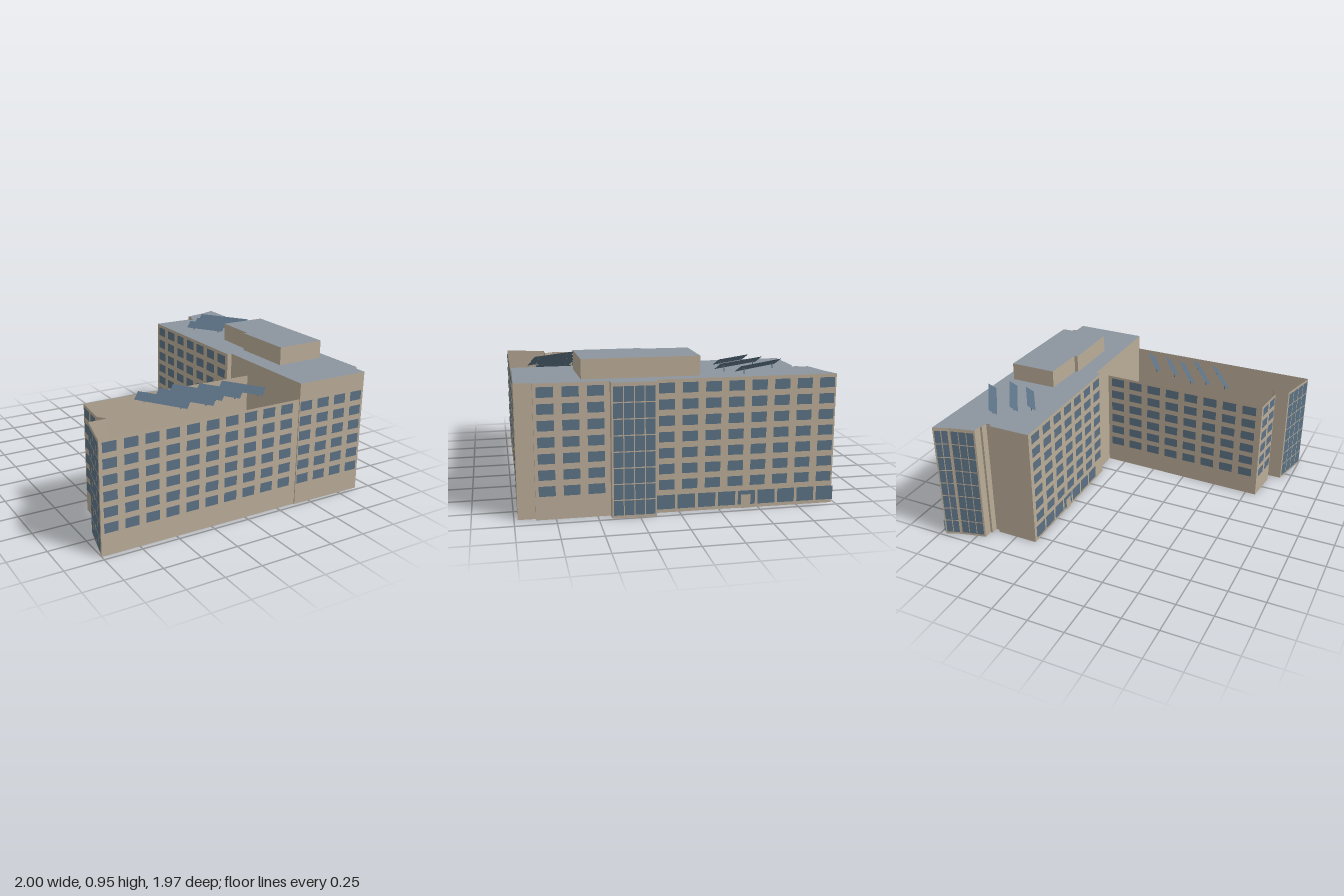
import * as THREE from 'three';
import { mergeGeometries } from 'three/addons/utils/BufferGeometryUtils.js';

const mat = (name, color) => {
  const m = new THREE.MeshStandardMaterial({ color, side: THREE.DoubleSide });
  m.name = name;
  return m;
};

// Flat quad from four corners, counter-clockwise seen from its front
function quad(a, b, c, d) {
  const g = new THREE.BufferGeometry();
  g.setAttribute('position', new THREE.Float32BufferAttribute([...a, ...b, ...c, ...a, ...c, ...d], 3));
  g.computeVertexNormals();
  return g;
}

// Upright panel on the wall line p -> q ([x, z] points), from s0 to s1 along it
function panel(p, q, s0, s1, y0, y1, off = 0) {
  const len = Math.hypot(q[0] - p[0], q[1] - p[1]);
  const dx = (q[0] - p[0]) / len, dz = (q[1] - p[1]) / len;
  const at = (s, y) => [p[0] + dx * s - dz * off, y, p[1] + dz * s + dx * off];
  return quad(at(s0, y0), at(s1, y0), at(s1, y1), at(s0, y1));
}
const dist = (p, q) => Math.hypot(q[0] - p[0], q[1] - p[1]);

// Walls along a path of points
function walls(path, y0, y1) {
  return path.slice(1).map((q, i) => panel(path[i], q, 0, dist(path[i], q), y0, y1));
}

// Regular window grid on a wall
function windowGrid(p, q, start, step, width, cols, y0, rows, height = 0.063, rise = 0.1) {
  const out = [];
  for (let c = 0; c < cols; c++) {
    for (let r = 0; r < rows; r++) {
      const s = start + c * step, y = y0 + r * rise;
      out.push(panel(p, q, s, s + width, y, y + height, 0.003));
    }
  }
  return out;
}

// Glazed bay: closely spaced panes that leave narrow wall-coloured bars
function glazing(p, q, cols, rows, y0, y1) {
  const w = (dist(p, q) - 0.015) / cols, h = (y1 - y0) / rows;
  return windowGrid(p, q, 0.0105, w, w - 0.006, cols, y0, rows, h - 0.007, h);
}

function flatRoof(path, y) {
  const shape = new THREE.Shape(path.map(([x, z]) => new THREE.Vector2(x, -z)));
  return new THREE.ShapeGeometry(shape).rotateX(-Math.PI / 2).translate(0, y, 0);
}

export function createModel() {
  const model = new THREE.Group();
  const wallMat = mat('beige wall', 0xb9ab97);
  const glassMat = mat('blue glass', 0x5b7184);
  const roofMat = mat('grey roof', 0x8b959e);
  const add = (name, geos, material) => {
    const m = new THREE.Mesh(mergeGeometries(geos), material);
    m.name = name;
    model.add(m);
  };
  const TALL = 0.83, LOW = 0.725, PENT = 0.952;

  // Tall wing: outline starts at the front left corner
  const frontL = [0.385, 0.972], frontR = [0.9, 0.978];
  const sideA = [0.928, 0.87], sideB = [0.93, 0.42];
  const bayA = [0.985, 0.42], bayB = [0.995, 0.15];
  const sideC = [0.94, 0.14], backR = [0.96, -0.98], backMid = [0.86, -0.94], backL = [0.69, -0.9];
  const courtA = [0.35, -0.81], courtB = [0.35, 0.2], inner = [0.383, 0.4];
  const tall = [frontL, frontR, [0.902, 0.87], sideA, sideB, bayA, bayB, [0.942, 0.15], sideC,
    backR, backMid, backL, [0.69, -0.84], [0.675, -0.84], [0.675, -0.79], [0.64, -0.79],
    [0.64, -0.81], courtA, courtB, [0.383, 0.2], inner];
  add('tallWingWalls', walls(tall, 0, TALL), wallMat);
  add('tallWingInnerWall', walls([inner, frontL], 0.13, TALL), wallMat);
  add('tallWingRoof', [flatRoof(tall, TALL)], roofMat);

  // Low wing: open at the top
  const endA = [-0.825, 0.375], endB = [-0.85, 0.62];
  const glassA = [-0.93, 0.68], glassB = [-1, 0.965], lowFront = [0.385, 0.965];
  add('lowWingWalls',
    walls([inner, endA, endB, [-0.81, 0.68], glassA, glassB, lowFront, frontL], 0, LOW), wallMat);

  // Penthouse on the tall roof
  const pent = [[0.51, 0.59], [0.855, 0.58], [0.868, -0.14], [0.545, -0.14], [0.535, 0.16], [0.51, 0.16]];
  add('penthouseWalls', walls([...pent, pent[0]], TALL, PENT), wallMat);
  add('penthouseRoof', [flatRoof(pent, PENT)], roofMat);

  // Windows
  add('frontWindows', [
    ...windowGrid(glassB, lowFront, 0.02, 0.136, 0.09, 10, 0.146, 6),
    ...windowGrid(frontL, frontR, 0.005, 0.134, 0.09, 4, 0.146, 6)], glassMat);
  add('rightWindows', [
    ...windowGrid(sideA, sideB, 0.02, 0.148, 0.1, 3, 0.146, 7),
    ...windowGrid(sideC, backR, 0.012, 0.143, 0.096, 8, 0.146, 7),
    ...windowGrid(sideC, backR, 0.002, 0.127, 0.11, 9, 0.022, 1, 0.09)], glassMat);
  add('courtWindows', [
    ...windowGrid(courtA, courtB, 0.03, 0.143, 0.096, 7, 0.146, 7),
    ...windowGrid(courtA, courtB, 0.02, 0.127, 0.11, 7, 0.022, 1, 0.09)], glassMat);
  add('lowWingBackWindows', windowGrid(inner, endA, 0.03, 0.148, 0.1, 8, 0.146, 6), glassMat);
  add('lowWingEndWindows', windowGrid(endA, endB, 0.02, 0.118, 0.09, 2, 0.146, 6), glassMat);
  add('rightGlazedBay', glazing(bayA, bayB, 4, 8, 0.018, 0.815), glassMat);
  add('backGlazedBay', [
    ...glazing(backR, backMid, 2, 8, 0.018, 0.815),
    ...glazing(backMid, backL, 3, 8, 0.018, 0.815)], glassMat);
  add('leftGlazedBay', glazing(glassA, glassB, 4, 7, 0.018, 0.715), glassMat);

  // Doors
  add('doors', [
    panel(sideC, backR, 0.53, 0.59, 0, 0.087, 0.006),
    panel(courtA, courtB, 0.43, 0.49, 0, 0.087, 0.006)], wallMat);

  // Tilted solar panels on thin posts: [x0, z0, x1, z1] centre lines
  const panels = [], posts = [];
  const solar = (lines, base) => lines.forEach(([x0, z0, x1, z1]) => {
    const len = Math.hypot(x1 - x0, z1 - z0);
    const ox = (z1 - z0) / len * 0.026, oz = -(x1 - x0) / len * 0.026;
    const lo = base + 0.018, hi = base + 0.058;
    panels.push(quad([x0 - ox, lo, z0 - oz], [x1 - ox, lo, z1 - oz],
      [x1 + ox, hi, z1 + oz], [x0 + ox, hi, z0 + oz]));
    for (const t of [0.15, 0.85]) {
      posts.push(new THREE.BoxGeometry(0.005, 0.036, 0.005)
        .translate(x0 + (x1 - x0) * t, base + 0.018, z0 + (z1 - z0) * t));
    }
  });
  solar([[-0.52, 0.49, -0.32, 0.8], [-0.375, 0.5, -0.155, 0.83], [-0.26, 0.475, -0.06, 0.78],
    [-0.105, 0.545, 0.06, 0.8], [0.05, 0.57, 0.215, 0.825]], LOW);
  solar([[0.48, -0.545, 0.64, -0.3], [0.58, -0.605, 0.79, -0.27], [0.68, -0.7, 0.9, -0.365]], TALL);
  add('solarPanels', panels, glassMat);
  add('solarPosts', posts, glassMat);

  return model;
}
